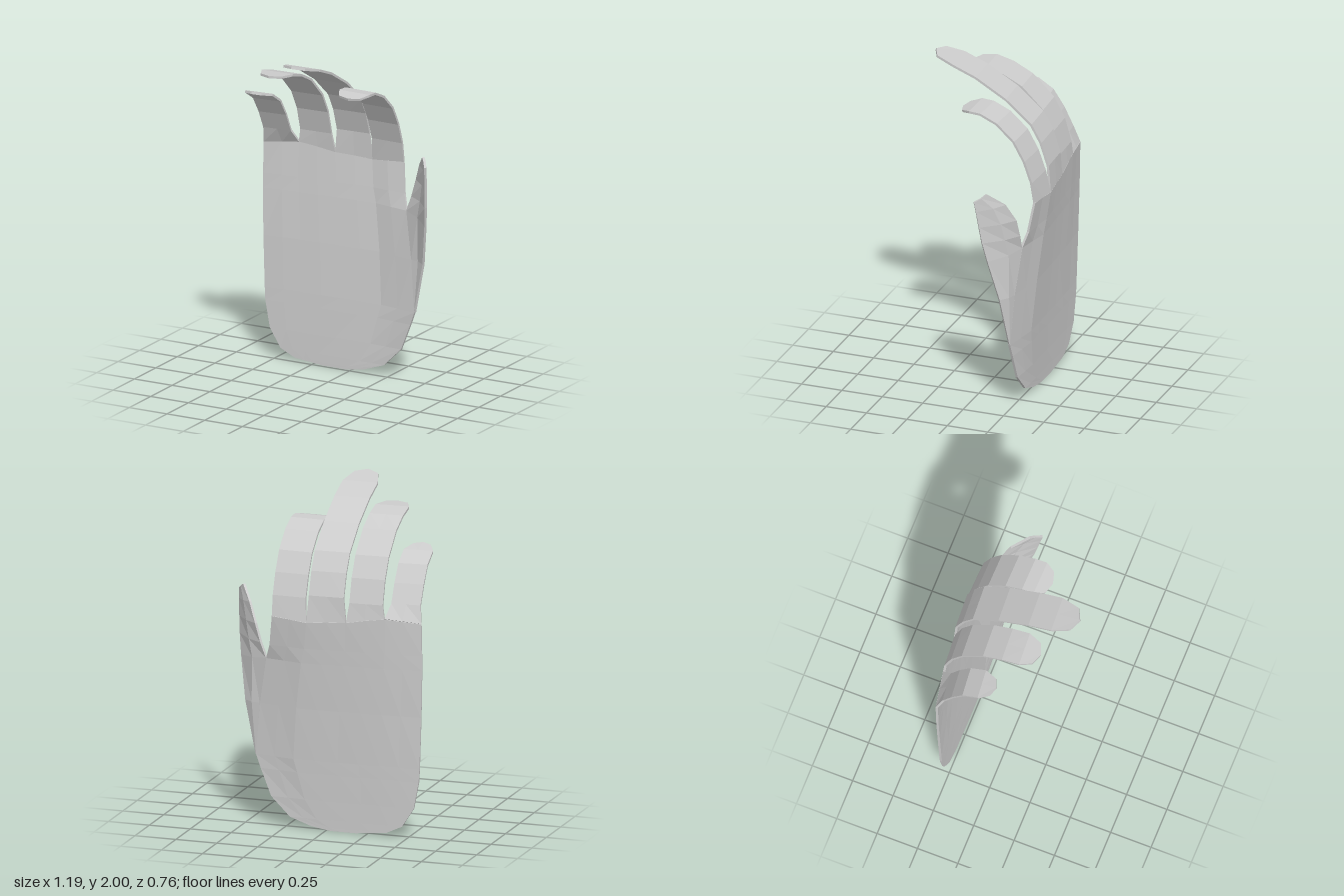
import * as THREE from 'three';

const THICKNESS = 0.014;
const material = new THREE.MeshStandardMaterial({ color: 0xcccccc, flatShading: true });

// Piecewise-linear lookup in [[x, value], ...]
function lerpTable(table, x) {
  if (x <= table[0][0]) return table[0][1];
  for (let i = 1; i < table.length; i++) {
    const [x0, v0] = table[i - 1], [x1, v1] = table[i];
    if (x <= x1) return v0 + (v1 - v0) * (x - x0) / (x1 - x0);
  }
  return table[table.length - 1][1];
}

// Closed thin sheet from rows of [x, y, z] points (columns run +x, rows run +y)
function sheet(name, rows) {
  const R = rows.length, C = rows[0].length, n = R * C;
  const mid = rows.flat(2), front = [];
  for (let r = 0; r < R - 1; r++) for (let c = 0; c < C - 1; c++) {
    const a = r * C + c, b = a + 1, d = a + C, e = d + 1;
    front.push(a, b, e, a, e, d);
  }
  const core = new THREE.BufferGeometry();
  core.setAttribute('position', new THREE.Float32BufferAttribute(mid, 3));
  core.setIndex(front);
  core.computeVertexNormals();
  const normals = core.attributes.normal.array;
  const offset = (s) => mid.map((v, i) => v + s * normals[i] * THICKNESS / 2);

  const index = [...front];
  for (let i = 0; i < front.length; i += 3) index.push(front[i] + n, front[i + 2] + n, front[i + 1] + n);
  // Rim, walked counter-clockwise
  const rim = [];
  for (let c = 0; c < C - 1; c++) rim.push(c);
  for (let r = 0; r < R - 1; r++) rim.push(r * C + C - 1);
  for (let c = C - 1; c > 0; c--) rim.push((R - 1) * C + c);
  for (let r = R - 1; r > 0; r--) rim.push(r * C);
  rim.forEach((p, i) => {
    const q = rim[(i + 1) % rim.length];
    index.push(p, p + n, q + n, p, q + n, q);
  });

  const indexed = new THREE.BufferGeometry();
  indexed.setAttribute('position', new THREE.Float32BufferAttribute([...offset(1), ...offset(-1)], 3));
  indexed.setIndex(index);
  const geometry = indexed.toNonIndexed();
  geometry.computeVertexNormals();
  const mesh = new THREE.Mesh(geometry, material);
  mesh.name = name;
  return mesh;
}

// Knuckle line: depth and height across the hand
const knuckleZ = [[-0.59, -0.292], [-0.378, -0.33], [-0.15, -0.352], [0.085, -0.374], [0.298, -0.362]];
const knuckleX = [-0.59, -0.48, -0.378, -0.265, -0.15, -0.03, 0.085, 0.19, 0.298];
const knuckleY = [1.29, 1.3, 1.31, 1.295, 1.275, 1.27, 1.26, 1.27, 1.28];

function palm() {
  // y, left x, right x, right-edge z
  const outline = [
    [0.003, -0.18, -0.03, -0.27], [0.022, -0.37, 0.09, -0.27], [0.067, -0.465, 0.22, -0.27],
    [0.18, -0.537, 0.335, -0.268], [0.34, -0.568, 0.4, -0.262], [0.42, -0.573, 0.43, -0.258],
    [0.73, -0.585, 0.4, -0.275], [1.01, -0.592, 0.352, -0.303], [1.1, -0.592, 0.322, -0.332],
    [1.28, -0.59, 0.298, -0.362],
  ];
  const rows = outline.map(([y, x0, x1, zRight], r) => knuckleX.map((kx, c) => {
    const u = (kx + 0.59) / 0.888;
    const z = -0.27 + (lerpTable(knuckleZ, kx) + 0.27) * Math.pow(y / 1.28, 1.25);
    const blend = Math.max(0, (u - 0.75) / 0.25);
    return [x0 + (x1 - x0) * u, r === outline.length - 1 ? knuckleY[c] : y, z + (zRight - z) * blend];
  }));
  return sheet('palm', rows);
}

// First knuckle column, side edges, and a curl profile of [z, y] ending at the tip
const fingers = [
  { name: 'littleFinger', column: 0, x0: -0.573, x1: -0.4,
    curl: [[-0.265, 1.39], [-0.21, 1.5], [-0.143, 1.6], [-0.05, 1.658], [0.037, 1.683]] },
  { name: 'ringFinger', column: 2, x0: -0.366, x1: -0.166,
    curl: [[-0.33, 1.39], [-0.29, 1.53], [-0.225, 1.65], [-0.095, 1.775], [0.02, 1.833], [0.125, 1.86], [0.225, 1.862]] },
  { name: 'middleFinger', column: 4, x0: -0.136, x1: 0.074,
    curl: [[-0.353, 1.42], [-0.308, 1.555], [-0.248, 1.66], [-0.09, 1.793], [0.095, 1.9], [0.235, 1.955], [0.376, 1.994]] },
  { name: 'indexFinger', column: 6, x0: 0.096, x1: 0.299,
    curl: [[-0.345, 1.4], [-0.3, 1.525], [-0.235, 1.64], [-0.13, 1.735], [-0.03, 1.78], [0.04, 1.785], [0.116, 1.767]] },
];

function finger({ name, column, x0, x1, curl }) {
  const rows = [[0, 1, 2].map((i) => {
    const x = knuckleX[column + i];
    return [x, knuckleY[column + i], lerpTable(knuckleZ, x)];
  })];
  const xm = (x0 + x1) / 2, zm = lerpTable(knuckleZ, xm);
  curl.forEach(([z, y], r) => {
    if (r < curl.length - 1) {
      rows.push([x0, xm, x1].map((x) => [x, y, z + (lerpTable(knuckleZ, x) - zm) * 0.5]));
    } else {
      // Tapered fingertip
      const [pz, py] = curl[r - 1];
      const side = (x) => [x, py + (y - py) * 0.75, pz + (z - pz) * 0.75];
      rows.push([side(x0 + 0.033), [xm, y, z], side(x1 - 0.033)]);
    }
  });
  return sheet(name, rows);
}

function thumb() {
  // Inner edge and outer edge points, with a slightly set-back middle
  const edges = [
    [[0.429, 0.42, -0.258], [0.431, 0.42, -0.257]],
    [[0.4, 0.73, -0.275], [0.505, 0.73, -0.225]],
    [[0.352, 1.01, -0.303], [0.55, 0.98, -0.168]],
    [[0.385, 1.1, -0.305], [0.567, 1.1, -0.142]],
    [[0.42, 1.21, -0.297], [0.575, 1.2, -0.126]],
    [[0.47, 1.32, -0.25], [0.583, 1.3, -0.111]],
    [[0.54, 1.4, -0.16], [0.587, 1.358, -0.1]],
  ];
  const rows = edges.map(([a, b]) => {
    const m = a.map((v, i) => (v + b[i]) / 2);
    m[2] -= 0.12 * (b[0] - a[0]);
    return [a, m, b];
  });
  return sheet('thumb', rows);
}

export function createModel() {
  const hand = new THREE.Group();
  hand.name = 'hand';
  hand.add(palm(), thumb(), ...fingers.map(finger));
  return hand;
}
